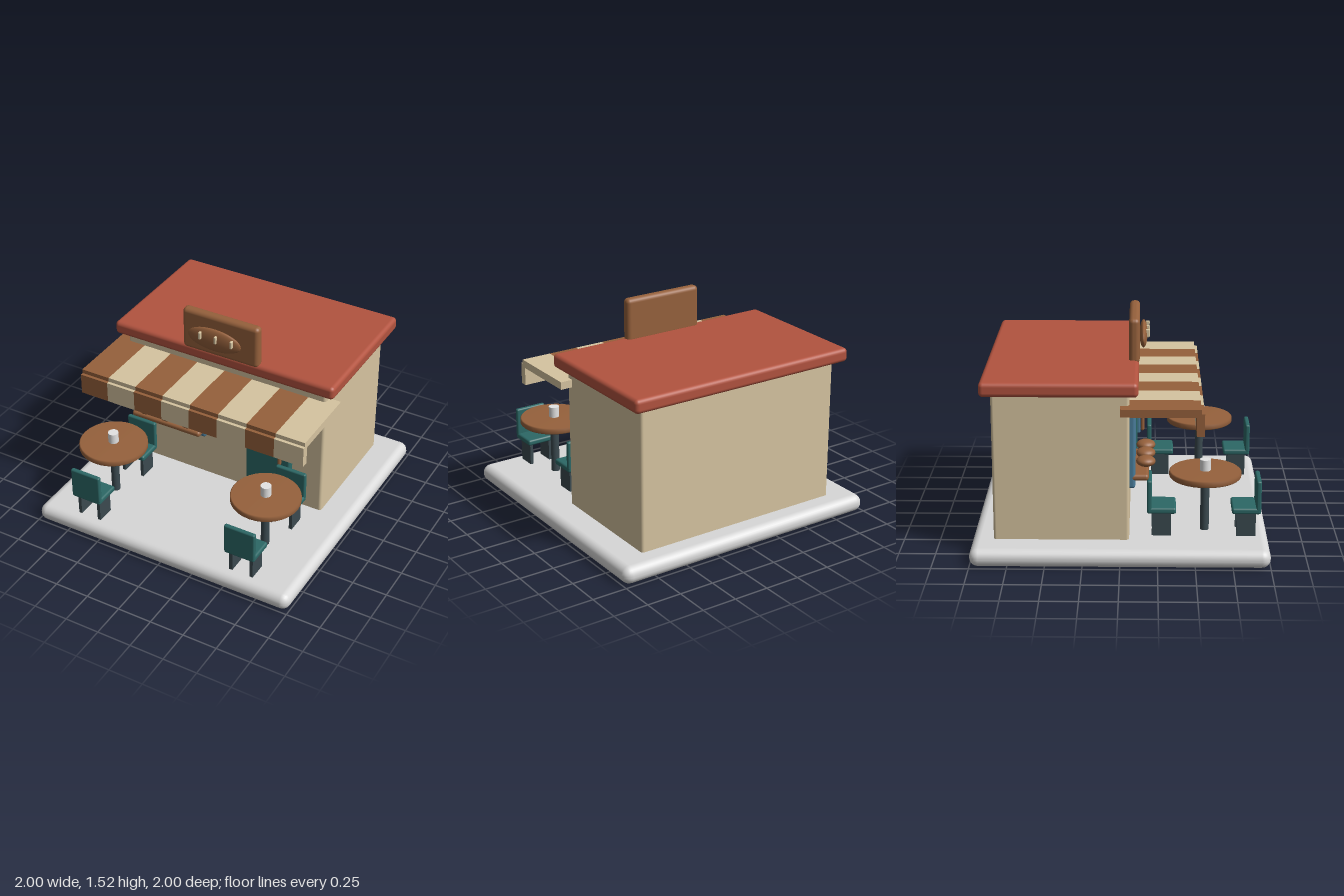
import * as THREE from 'three';
import { RoundedBoxGeometry } from 'three/addons/geometries/RoundedBoxGeometry.js';

const paint = (name, color) => {
  const m = new THREE.MeshStandardMaterial({ color });
  m.name = name;
  return m;
};

export function createModel() {
  const model = new THREE.Group();
  model.name = 'bakeryCafe';

  const stone = paint('paleStone', 0xd8d8d8);
  const cream = paint('cream', 0xd6c4a0);
  const red = paint('roofRed', 0xb2533f);
  const brown = paint('crustBrown', 0x96613c);
  const teal = paint('teal', 0x2c6866);
  const blue = paint('glassBlue', 0x497c9a);
  const slate = paint('slate', 0x3b4a50);
  const white = paint('cupWhite', 0xe4e4e4);

  const add = (parent, name, geometry, material, x = 0, y = 0, z = 0) => {
    const mesh = new THREE.Mesh(geometry, material);
    mesh.name = name;
    mesh.position.set(x, y, z);
    parent.add(mesh);
    return mesh;
  };
  // Box given by its limits on each axis; r rounds the edges
  const box = (parent, name, material, [x0, x1], [y0, y1], [z0, z1], r = 0) => {
    const s = [x1 - x0, y1 - y0, z1 - z0];
    const g = r ? new RoundedBoxGeometry(...s, 3, r) : new THREE.BoxGeometry(...s);
    return add(parent, name, g, material, (x0 + x1) / 2, (y0 + y1) / 2, (z0 + z1) / 2);
  };
  const loaf = (parent, name, [x, y, z], [rx, ry, rz]) =>
    add(parent, name, new THREE.SphereGeometry(1, 24, 16), brown, x, y, z).scale.set(rx, ry, rz);

  // Ground slab and building
  box(model, 'groundSlab', stone, [-1, 1], [0, 0.125], [-1, 1], 0.06);
  box(model, 'walls', cream, [-0.785, 0.78], [0.1, 1.16], [-0.85, 0.06], 0.02);
  box(model, 'roof', red, [-0.86, 0.86], [1.137, 1.236], [-0.92, 0.12], 0.03);

  // Roof sign with a scored loaf
  const sign = new THREE.Group();
  sign.name = 'roofSign';
  model.add(sign);
  box(sign, 'signBoard', brown, [-0.298, 0.294], [1.21, 1.525], [0.052, 0.125], 0.03);
  loaf(sign, 'signLoaf', [-0.03, 1.36, 0.15], [0.207, 0.086, 0.028]);
  for (const x of [-0.125, -0.004, 0.119])
    box(sign, 'loafScore', cream, [x - 0.009, x + 0.009], [1.357, 1.413], [0.165, 0.193], 0.006);

  // Striped awning with hanging front flaps
  const awning = new THREE.Group();
  awning.name = 'awning';
  model.add(awning);
  const stripe = 1.736 / 8;
  for (let i = 0; i < 8; i++) {
    const x = -0.87 + i * stripe;
    const mat = i % 2 ? cream : brown;
    box(awning, 'awningStripe', mat, [x, x + stripe], [1.012, 1.066], [0, 0.53]);
    box(awning, 'awningFlap', mat, [x, x + stripe], [0.884, 1.035], [0.5, 0.552]);
  }

  // Shop window with bread shelf
  box(model, 'shopWindow', blue, [-0.702, -0.138], [0.457, 1.0], [0.04, 0.1], 0.02);
  box(model, 'breadShelf', brown, [-0.702, -0.138], [0.512, 0.557], [0.06, 0.19], 0.02);
  for (const x of [-0.577, -0.404, -0.231])
    loaf(model, 'shelfLoaf', [x, 0.614, 0.17], [0.068, 0.036, 0.066]);

  // Door
  const door = new THREE.Group();
  door.name = 'door';
  model.add(door);
  box(door, 'doorPanel', teal, [0.198, 0.546], [0.19, 1.02], [0.05, 0.108], 0.015);
  box(door, 'doorGlass', blue, [0.248, 0.494], [0.535, 0.97], [0.09, 0.13], 0.012);
  add(door, 'doorHandle', new THREE.CapsuleGeometry(0.014, 0.1, 4, 10), brown, 0.486, 0.545, 0.145);

  // Chair: facing = 1 puts the backrest at the front (+z) end
  const chair = (x, z, facing) => {
    const g = new THREE.Group();
    g.name = 'chair';
    box(g, 'seat', teal, [-0.116, 0.116], [0.287, 0.33], [-0.098, 0.098], 0.015);
    box(g, 'backrest', teal, [-0.116, 0.116], [0.305, 0.522], [0.065, 0.098], 0.012);
    for (const s of [-1, 1])
      box(g, 'chairLeg', slate, [s * 0.078 - 0.012, s * 0.078 + 0.012], [0.12, 0.295], [-0.065, 0.065]);
    g.position.set(x, 0, z);
    if (facing < 0) g.rotation.y = Math.PI;
    model.add(g);
  };

  // Two tables, each with a cup and a pair of chairs
  for (const x of [-0.612, 0.606]) {
    const table = new THREE.Group();
    table.name = 'table';
    table.position.set(x, 0, 0.57);
    model.add(table);
    const top = [[0, 0.52], [0.235, 0.52], [0.243, 0.528], [0.243, 0.557], [0.235, 0.565], [0, 0.565]];
    add(table, 'tableTop', new THREE.LatheGeometry(top.map((p) => new THREE.Vector2(...p)), 32), brown);
    add(table, 'tableLeg', new THREE.CylinderGeometry(0.03, 0.03, 0.39, 20), slate, 0, 0.335, 0);
    add(table, 'cup', new THREE.CylinderGeometry(0.037, 0.037, 0.078, 20), white, 0, 0.602, 0);
    chair(x, 0.847, 1);
    chair(x, 0.277, -1);
  }

  return model;
}
